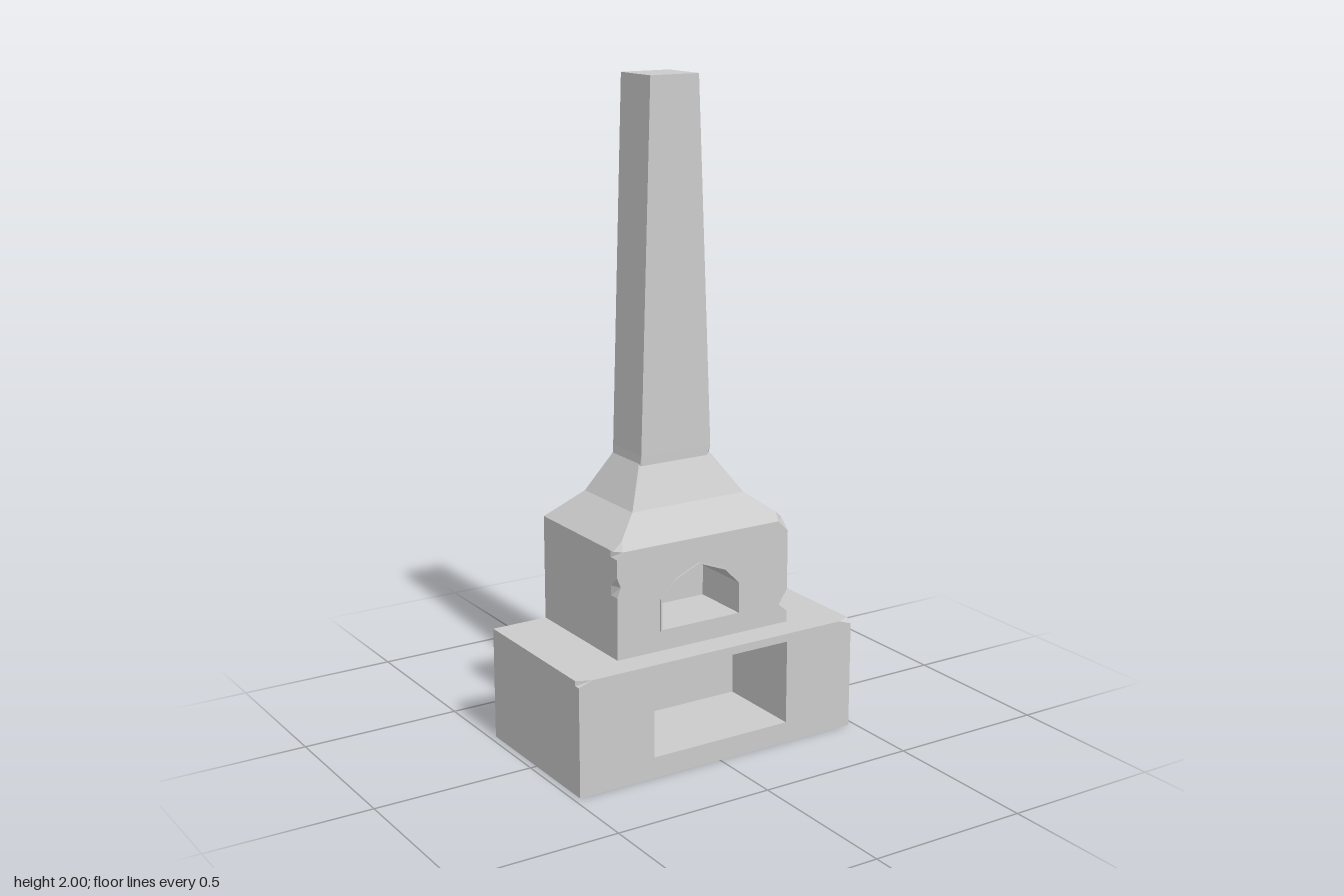
import * as THREE from 'three';

const material = new THREE.MeshStandardMaterial({ color: 0xcccccc, flatShading: true });

function mesh(geometry, name) {
  const m = new THREE.Mesh(geometry, material);
  m.name = name;
  return m;
}

const toPoints = (list) => list.map(([x, y]) => new THREE.Vector2(x, y));

// Prism along z, with an optional opening
function prism(outline, hole, z0, z1) {
  const shape = new THREE.Shape(toPoints(outline));
  if (hole) shape.holes.push(new THREE.Path(toPoints(hole)));
  return new THREE.ExtrudeGeometry(shape, { depth: z1 - z0, bevelEnabled: false }).translate(0, 0, z0);
}

// Masonry block with a recess in its front; chips = [y, inset] down each front edge
function recessedBlock(name, { w, y0, y1, z0, z1, recessZ, chipDepth, hole, chipsR, chipsL }) {
  const group = new THREE.Group();
  group.name = name;
  const zc = z1 - chipDepth;
  const square = [[-w, y0], [w, y0], [w, y1], [-w, y1]];

  // front layer: worn outline in front, widening to the full width behind
  const worn = [
    ...chipsR.map(([y, d]) => [w - d, y]),
    ...chipsL.map(([y, d]) => [-w + d, y]).reverse(),
  ];
  const front = prism(worn, hole, zc, z1);
  const p = front.attributes.position;
  for (let i = 0; i < p.count; i++) {
    const x = p.getX(i);
    if (p.getZ(i) < zc + 1e-4 && Math.abs(x) > w - 0.06) p.setX(i, Math.sign(x) * w);
  }
  front.computeVertexNormals();

  group.add(
    mesh(front, name + 'Front'),
    mesh(prism(square, hole, recessZ, zc), name + 'Walls'),
    mesh(prism(square, null, z0, recessZ), name + 'Back'),
  );
  return group;
}

// Loft through rectangles [y, x0, x1, z0, z1, left front cut, right front cut]
function loft(levels) {
  const rings = levels.map(([y, x0, x1, z0, z1, cl = 0, cr = 0]) => [
    [x0, y, z0], [x0, y, z1 - cl], [x0 + cl, y, z1],
    [x1 - cr, y, z1], [x1, y, z1 - cr], [x1, y, z0],
  ]);
  const pos = [];
  const n = 6;
  for (let r = 0; r < rings.length - 1; r++) {
    const a = rings[r], b = rings[r + 1];
    for (let i = 0; i < n; i++) {
      const j = (i + 1) % n;
      pos.push(...a[i], ...a[j], ...b[j], ...a[i], ...b[j], ...b[i]);
    }
  }
  const bottom = rings[0], top = rings[rings.length - 1];
  for (let i = 1; i < n - 1; i++) {
    pos.push(...top[0], ...top[i], ...top[i + 1]);
    pos.push(...bottom[0], ...bottom[i + 1], ...bottom[i]);
  }
  const g = new THREE.BufferGeometry();
  g.setAttribute('position', new THREE.Float32BufferAttribute(pos, 3));
  g.computeVertexNormals();
  return g;
}

export function createModel() {
  const model = new THREE.Group();
  model.name = 'outdoorFireplace';

  // Wide base with a rectangular wood store
  model.add(recessedBlock('base', {
    w: 0.48, y0: 0, y1: 0.35, z0: -0.257, z1: 0.257, recessZ: -0.03, chipDepth: 0.02,
    hole: [[-0.23, 0.065], [0.24, 0.065], [0.24, 0.325], [-0.23, 0.325]],
    chipsR: [[0, 0], [0.335, 0], [0.35, 0.045]],
    chipsL: [[0, 0], [0.335, 0], [0.35, 0.045]],
  }));

  // Firebox with a faceted arch
  const arch = [[-0.15, 0.415], [0.12, 0.415], [0.12, 0.51], [0.07, 0.56],
    [-0.02, 0.595], [-0.1, 0.56], [-0.15, 0.51]];
  model.add(recessedBlock('firebox', {
    w: 0.3, y0: 0.35, y1: 0.675, z0: -0.257, z1: 0.17, recessZ: -0.02, chipDepth: 0.035,
    hole: arch,
    chipsR: [[0.35, 0], [0.385, 0], [0.41, 0.03], [0.455, 0], [0.64, 0], [0.675, 0.035]],
    chipsL: [[0.35, 0], [0.54, 0], [0.57, 0.012], [0.6, 0], [0.655, 0], [0.675, 0.02]],
  }));

  // Thin raised rim of the arch
  const rim = arch.map(([x, y]) => [-0.015 + (x + 0.015) * 1.04, 0.505 + (y - 0.505) * 1.04]);
  model.add(mesh(prism(rim, arch, 0.165, 0.175), 'archRim'));

  // Hood narrowing in two slopes, front corners chipped
  model.add(mesh(loft([
    [0.675, -0.3, 0.3, -0.257, 0.17, 0.02, 0.035],
    [0.7, -0.27, 0.27, -0.234, 0.147],
    [0.76, -0.2, 0.19, -0.18, 0.092],
    [0.88, -0.135, 0.115, -0.125, 0.03, 0.006, 0.012],
  ]), 'hood'));

  // Tapered chimney
  model.add(mesh(loft([
    [0.875, -0.135, 0.112, -0.125, 0.034, 0.004, 0.015],
    [0.905, -0.133, 0.109, -0.125, 0.034],
    [2, -0.095, 0.068, -0.129, 0.029],
  ]), 'chimney'));

  return model;
}
